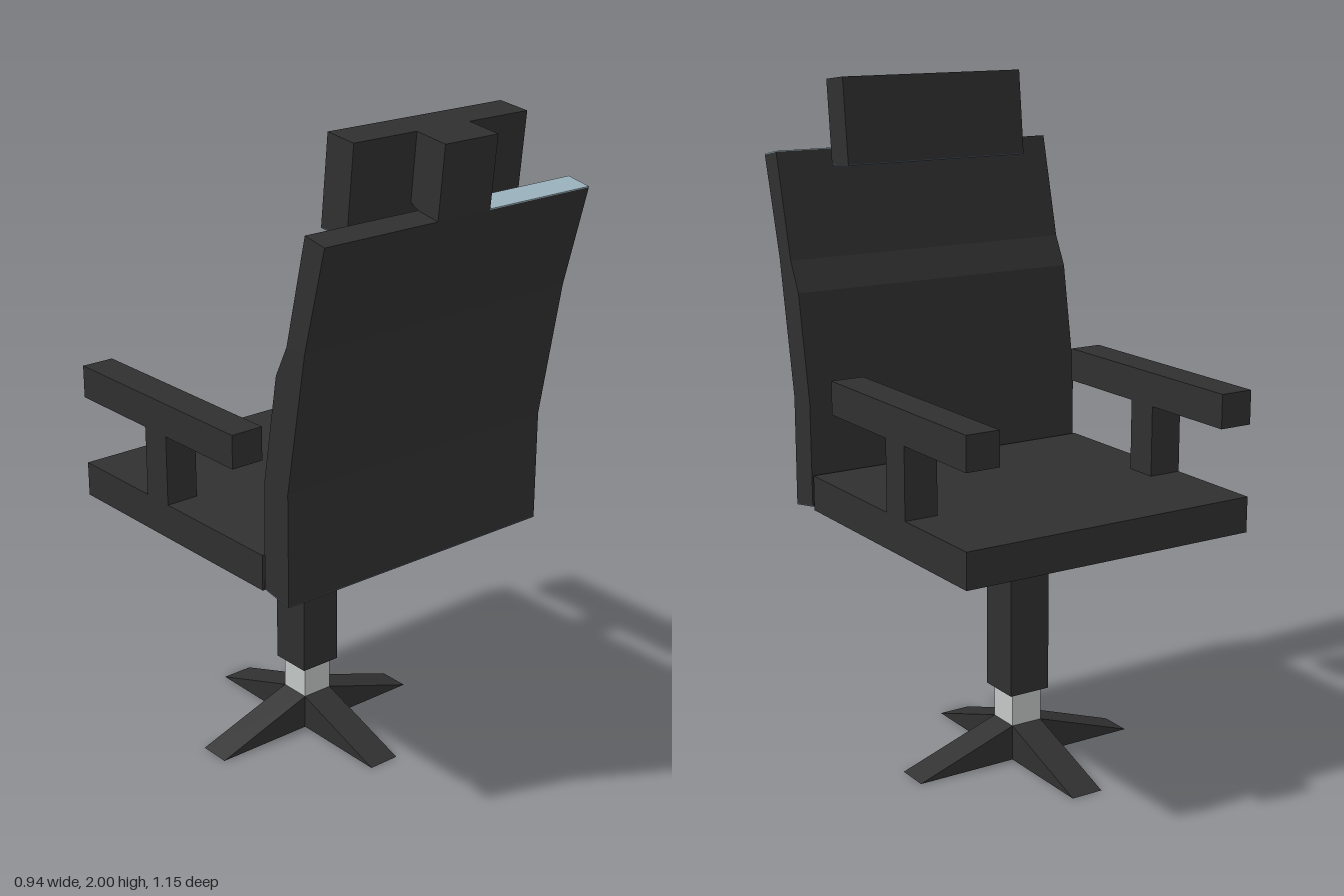
import * as THREE from 'three';

const paint = (name, color) => {
  const m = new THREE.MeshStandardMaterial({ color });
  m.name = name;
  return m;
};

export function createModel() {
  const chair = new THREE.Group();
  chair.name = 'officeChair';
  const black = paint('blackUpholstery', 0x303030);
  const steel = paint('steelGrey', 0xc4c8c6);
  const blue = paint('paleBlue', 0x9bb3be);
  const navy = paint('slateBlue', 0x45505c);

  const add = (name, geometry, material, parent = chair) => {
    const mesh = new THREE.Mesh(geometry, material);
    mesh.name = name;
    parent.add(mesh);
    return mesh;
  };

  // Box given by its limits on each axis
  const box = (name, material, [x0, x1], [y0, y1], [z0, z1]) => {
    const g = new THREE.BoxGeometry(x1 - x0, y1 - y0, z1 - z0);
    g.translate((x0 + x1) / 2, (y0 + y1) / 2, (z0 + z1) / 2);
    return add(name, g, material);
  };

  // Side profile of [z, y] points, extruded across x
  const profile = (points, x0, x1) => {
    const shape = new THREE.Shape(points.map(([z, y]) => new THREE.Vector2(z, y)));
    const g = new THREE.ExtrudeGeometry(shape, { depth: x1 - x0, bevelEnabled: false });
    g.rotateY(-Math.PI / 2);
    g.translate(x1, 0, 0);
    return g;
  };

  // Thin plate lying along the profile edge a-b, dy thick (negative hangs below)
  const plate = (name, material, a, b, dy, x0, x1) =>
    add(name, profile([a, b, [b[0], b[1] + dy], [a[0], a[1] + dy]], x0, x1), material);

  // Seat
  box('seat', black, [-0.47, 0.47], [0.737, 0.843], [-0.574, 0.287]);

  // Armrests with their posts
  for (const [side, s] of [['left', 1], ['right', -1]]) {
    const x = s > 0 ? [0.367, 0.47] : [-0.47, -0.367];
    box(side + 'ArmPost', black, x, [0.843, 1.055], [-0.256, -0.154]);
    box(side + 'Armrest', black, x, [1.055, 1.155], [-0.574, 0.16]);
  }

  // Curved backrest with tinted top and bottom edges
  add('backrest', profile([
    [0.297, 0.748], [0.4, 0.73], [0.4, 1.06], [0.473, 1.47], [0.552, 1.765],
    [0.476, 1.78], [0.4, 1.47], [0.355, 1.38], [0.3, 1.06],
  ], -0.47, 0.47), black);
  plate('backrestTopPanel', blue, [0.476, 1.78], [0.552, 1.765], 0.003, 0.093, 0.47);
  plate('backrestUnderside', navy, [0.297, 0.748], [0.4, 0.73], -0.003, -0.47, 0.47);

  // Headrest and its bracket
  add('headrest', profile([
    [0.34, 1.745], [0.442, 1.736], [0.467, 1.985], [0.366, 1.997],
  ], -0.305, 0.305), black);
  plate('headrestUnderside', navy, [0.34, 1.745], [0.442, 1.736], -0.003, -0.305, 0.305);
  add('headrestBracket', profile([
    [0.476, 1.78], [0.552, 1.765], [0.573, 1.97], [0.467, 1.985], [0.448, 1.795],
  ], -0.093, 0.093), black);

  // Square column and steel piston
  const cz = -0.099;
  box('column', black, [-0.066, 0.066], [0.21, 0.737], [cz - 0.066, cz + 0.066]);
  box('piston', steel, [-0.05, 0.05], [0.108, 0.21], [cz - 0.05, cz + 0.05]);

  // Four-legged base: hub and sloping wedges
  box('baseHub', black, [-0.05, 0.05], [0, 0.108], [cz - 0.05, cz + 0.05]);
  for (let i = 0; i < 4; i++) {
    const leg = add('baseLeg', profile([[0.05, 0], [0.367, 0], [0.05, 0.108]], -0.05, 0.05), black);
    leg.rotation.y = i * Math.PI / 2;
    leg.position.z = cz;
  }
  return chair;
}
